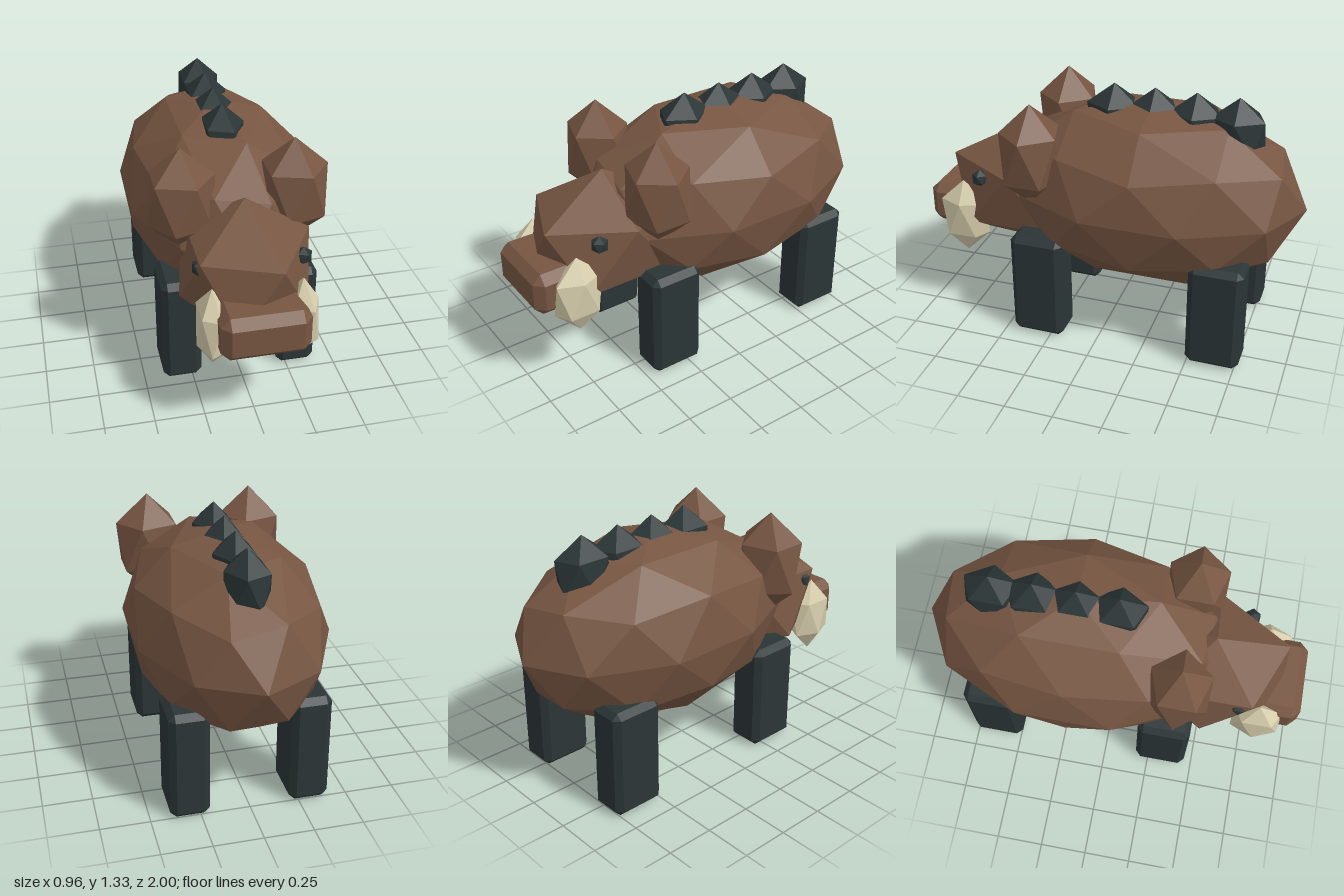
import * as THREE from 'three';
import { ConvexGeometry } from 'three/addons/geometries/ConvexGeometry.js';

const flat = (name, color) => {
  const m = new THREE.MeshStandardMaterial({ color, flatShading: true });
  m.name = name;
  return m;
};

// Icosahedral ball with a corner straight up, stretched to the given radii
function ball(rx, ry, rz, detail = 0) {
  const g = new THREE.IcosahedronGeometry(1, detail);
  g.rotateZ(-Math.atan(2 / (1 + Math.sqrt(5))));
  g.scale(rx, ry, rz);
  g.computeVertexNormals();
  return g;
}

// Box with chamfered edges and corners
function chamferBox(w, h, d, b) {
  const pts = [];
  for (const sx of [-0.5, 0.5]) for (const sy of [-0.5, 0.5]) for (const sz of [-0.5, 0.5]) {
    const c = new THREE.Vector3(sx * w, sy * h, sz * d);
    for (const axis of ['x', 'y', 'z']) {
      const p = c.clone();
      for (const k of ['x', 'y', 'z']) if (k !== axis) p[k] -= Math.sign(p[k]) * b;
      pts.push(p);
    }
  }
  return new ConvexGeometry(pts);
}

export function createModel() {
  const hide = flat('brown hide', 0x775642);
  const dark = flat('dark bristle', 0x2b3536);
  const ivory = flat('ivory', 0xd6cdac);

  const group = new THREE.Group();
  group.name = 'boar';
  const add = (name, geometry, material, x, y, z) => {
    const mesh = new THREE.Mesh(geometry, material);
    mesh.name = name;
    mesh.position.set(x, y, z);
    group.add(mesh);
  };

  // Body, head and snout
  add('body', ball(0.505, 0.49, 0.8, 1), hide, 0, 0.78, -0.2);
  add('head', ball(0.362, 0.35, 0.45), hide, 0, 0.71, 0.5);
  add('snout', chamferBox(0.43, 0.23, 0.32, 0.045), hide, 0, 0.597, 0.84);

  // Paired parts
  const ear = ball(0.19, 0.275, 0.178);
  const tusk = ball(0.085, 0.212, 0.147);
  const eye = ball(0.045, 0.048, 0.047);
  const leg = chamferBox(0.2, 0.58, 0.28, 0.031);
  for (const [side, s] of [['left', 1], ['right', -1]]) {
    add(side + 'Ear', ear, hide, s * 0.28, 1.01, 0.36);
    add(side + 'Tusk', tusk, ivory, s * 0.218, 0.558, 0.785);
    add(side + 'Eye', eye, dark, s * 0.248, 0.816, 0.67);
    add(side + 'FrontLeg', leg, dark, s * 0.302, 0.292, 0.318);
    add(side + 'RearLeg', leg, dark, s * 0.302, 0.292, -0.632);
  }

  // Mane of four tufts along the back
  const tuft = ball(0.125, 0.19, 0.16);
  for (let i = 0; i < 4; i++) add('maneTuft' + (i + 1), tuft, dark, 0, 1.146, 0.01 - i * 0.213);

  return group;
}
